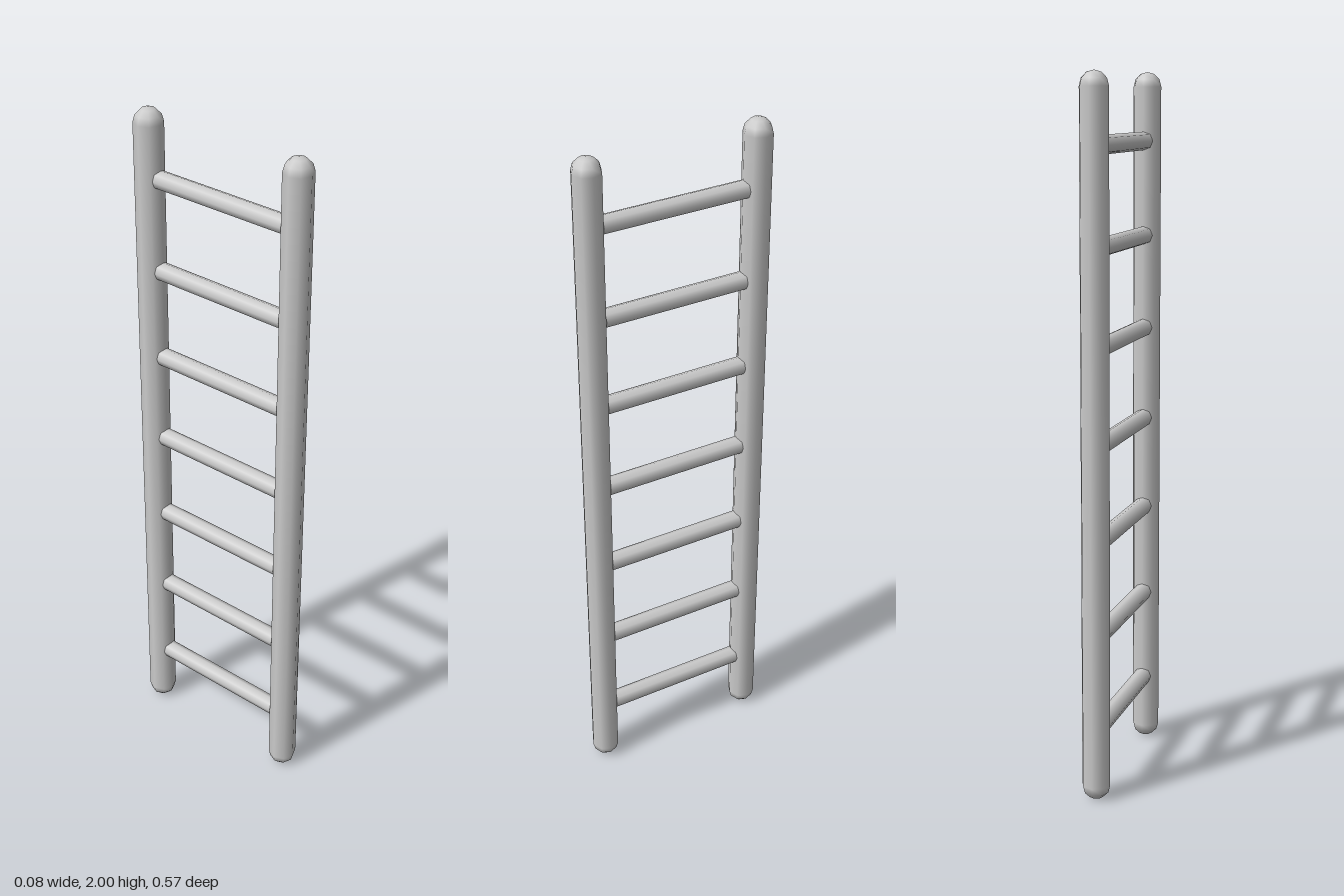
import * as THREE from 'three';

export function createModel() {
  const ladder = new THREE.Group();
  ladder.name = 'ladder';
  const material = new THREE.MeshStandardMaterial({ color: 0xcccccc });

  const height = 2, railRadius = 0.041, railZ = 0.245;
  const rungRadius = 0.026, rungLength = 0.425, rungCount = 7;
  const firstRung = 0.2, rungSpacing = 0.268;

  // Two eight-sided upright rails with rounded ends
  const railGeometry = new THREE.CapsuleGeometry(railRadius, height - 2 * railRadius, 3, 8);
  for (const side of [1, -1]) {
    const rail = new THREE.Mesh(railGeometry, material);
    rail.name = side > 0 ? 'frontRail' : 'backRail';
    rail.position.set(0, height / 2, side * railZ);
    ladder.add(rail);
  }

  // Evenly spaced rungs running between the rails
  const rungGeometry = new THREE.CylinderGeometry(rungRadius, rungRadius, rungLength, 8);
  rungGeometry.rotateX(Math.PI / 2);
  for (let i = 0; i < rungCount; i++) {
    const rung = new THREE.Mesh(rungGeometry, material);
    rung.name = `rung${i + 1}`;
    rung.position.y = firstRung + i * rungSpacing;
    ladder.add(rung);
  }

  return ladder;
}
